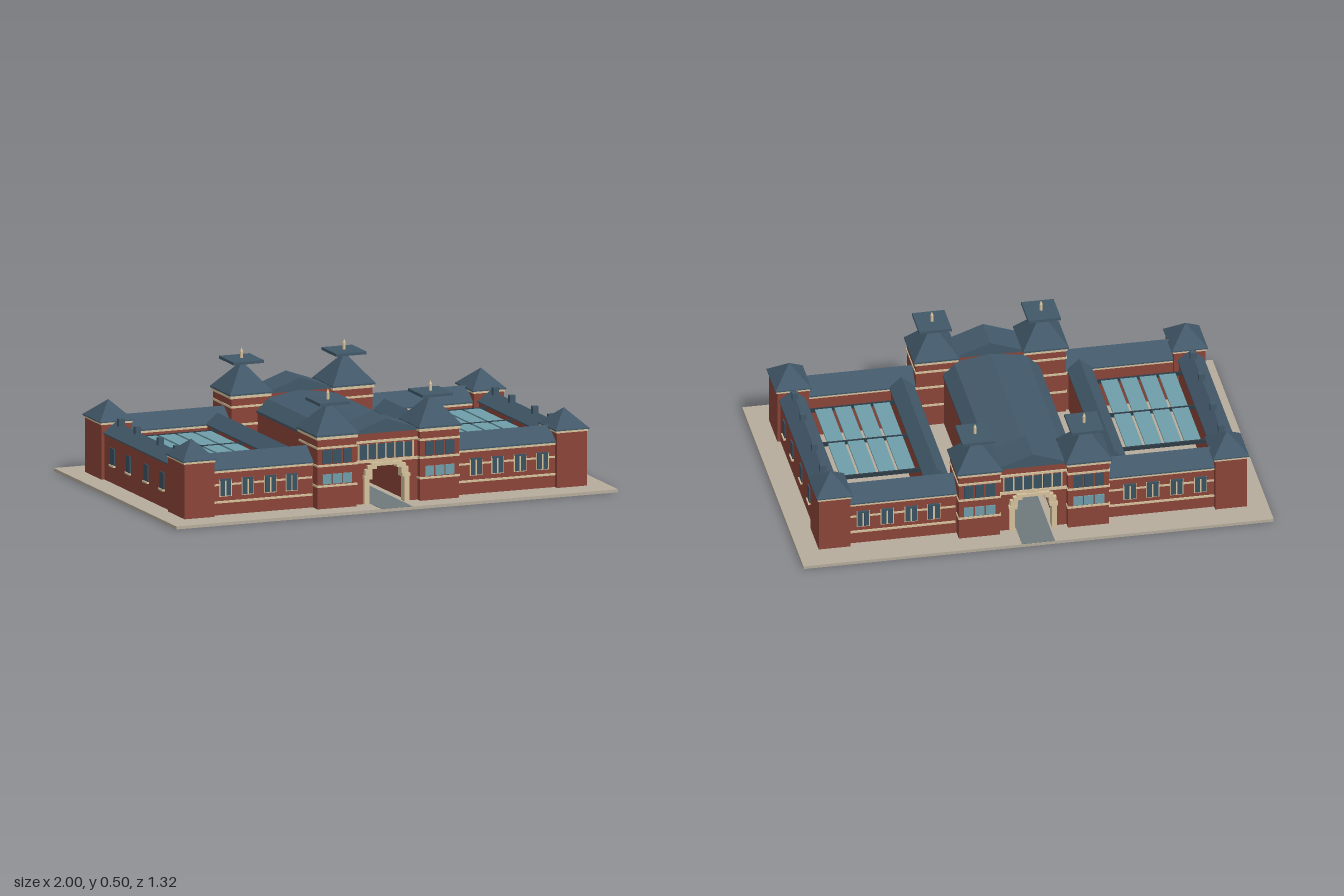
import * as THREE from 'three';

const mat = (name, color) => {
  const m = new THREE.MeshStandardMaterial({ color });
  m.name = name;
  return m;
};

export function createModel() {
  const root = new THREE.Group();
  root.name = 'courtyardBuilding';
  const brick = mat('brick', 0x8b4438), slate = mat('slate', 0x425869), cream = mat('creamStone', 0xd6c29c);
  const paving = mat('paving', 0xb5ac9c), path = mat('path', 0x6f7a7c), pane = mat('darkPane', 0x3a5262);
  const glass = mat('glass', 0x6f9eaa), iron = mat('iron', 0x2f3d47);

  const add = (name, geo, m, x = 0, y = 0, z = 0) => {
    const mesh = new THREE.Mesh(geo, m);
    mesh.name = name;
    mesh.position.set(x, y, z);
    root.add(mesh);
    return mesh;
  };
  // box by centre x/z, bottom and top heights
  const box = (name, m, x, z, w, d, y0, y1) =>
    add(name, new THREE.BoxGeometry(w, y1 - y0, d), m, x, (y0 + y1) / 2, z);
  // profile in x/y extruded along z, centred
  const prism = (name, m, pts, len, x, y, z, hole) => {
    const s = new THREE.Shape(pts.map(p => new THREE.Vector2(p[0], p[1])));
    if (hole) s.holes.push(new THREE.Path(hole.map(p => new THREE.Vector2(p[0], p[1]))));
    const g = new THREE.ExtrudeGeometry(s, { depth: len, bevelEnabled: false });
    g.translate(0, 0, -len / 2);
    return add(name, g, m, x, y, z);
  };
  // gable roof with its ridge along z, or along x when turned
  const gable = (name, x, y, z, span, h, len, turned) => {
    const r = prism(name, slate, [[-span / 2, 0], [span / 2, 0], [span / 2, 0.006], [0, h], [-span / 2, 0.006]], len, x, y, z);
    if (turned) r.rotation.y = Math.PI / 2;
  };
  const pyramid = (name, x, z, w, d, y0, y1) => {
    const g = new THREE.CylinderGeometry(0, Math.SQRT1_2, 1, 4, 1).toNonIndexed();
    g.rotateY(Math.PI / 4);
    g.scale(w, y1 - y0, d);
    g.computeVertexNormals();
    add(name, g, slate, x, (y0 + y1) / 2, z);
  };

  // ground slab
  box('groundSlab', paving, 0, 0, 2, 1.32, 0, 0.013);

  // central hall: side masses either side of the open passage, double-pitched roof
  for (const s of [-1, 1]) box('hallSide', brick, s * 0.15, 0, 0.1, 0.78, 0.013, 0.25);
  prism('hallRoof', slate, [[-0.205, 0.24], [0.205, 0.24], [0.205, 0.25], [0.155, 0.297],
    [0, 0.32], [-0.155, 0.297], [-0.205, 0.25]], 0.78, 0, 0, 0);
  box('passagePath', path, 0, 0, 0.14, 1.318, 0.012, 0.0145);

  for (const sz of [-1, 1]) {
    // entrance block with the passage cut through it
    prism('entranceBlock', brick, [[-0.15, 0.013], [-0.1, 0.013], [-0.1, 0.15], [-0.055, 0.185],
      [0.055, 0.185], [0.1, 0.15], [0.1, 0.013], [0.15, 0.013], [0.15, 0.315], [-0.15, 0.315]],
      0.15, 0, 0, sz * 0.458);
    gable('entranceRoof', 0, 0.313, sz * 0.462, 0.3, 0.059, 0.158);
    const zf = sz * 0.533;
    box('entranceCornice', cream, 0, zf, 0.29, 0.012, 0.272, 0.282);
    box('entranceSillBand', cream, 0, zf, 0.29, 0.012, 0.188, 0.2);
    for (let i = 0; i < 6; i++)
      box('entranceWindow', pane, (i - 2.5) * 0.041, sz * 0.534, 0.034, 0.006, 0.203, 0.265);
    for (let i = 0; i < 7; i++)
      box('entranceMullion', cream, (i - 3) * 0.041, sz * 0.535, 0.005, 0.008, 0.2, 0.268);
    // stepped stone portal
    for (const sx of [-1, 1]) {
      box('portalPier', cream, sx * 0.09, sz * 0.53, 0.022, 0.04, 0.013, 0.125);
      box('portalCapital', cream, sx * 0.086, sz * 0.53, 0.036, 0.046, 0.12, 0.135);
      box('portalCorbel', cream, sx * 0.082, sz * 0.53, 0.032, 0.04, 0.135, 0.162);
      box('portalCorbelUpper', cream, sx * 0.066, sz * 0.53, 0.04, 0.04, 0.162, 0.178);
    }
    box('portalLintel', cream, 0, sz * 0.53, 0.14, 0.04, 0.174, 0.188);
    prism('portalPediment', cream, [[-0.03, 0], [0.03, 0], [0, 0.022]], 0.02, 0, 0.186, sz * 0.535);

    for (const sx of [-1, 1]) {
      // entrance tower
      const tx = sx * 0.232, tz = sz * 0.465;
      box('towerWall', brick, tx, tz, 0.175, 0.195, 0.013, 0.32);
      box('towerCornice', cream, tx, tz, 0.186, 0.207, 0.308, 0.322);
      for (const y of [0.268, 0.192, 0.105]) box('towerBand', cream, tx, tz, 0.181, 0.202, y, y + 0.009);
      box('towerEave', slate, tx, tz, 0.195, 0.217, 0.321, 0.328);
      pyramid('towerRoof', tx, tz, 0.195, 0.217, 0.327, 0.446);
      box('towerCap', slate, tx, tz, 0.138, 0.157, 0.446, 0.458);
      add('finialStem', new THREE.CylinderGeometry(0.006, 0.007, 0.03, 8), cream, tx, 0.472, tz);
      add('finialTip', new THREE.ConeGeometry(0.007, 0.018, 8), cream, tx, 0.495, tz);
      for (const i of [-1, 0, 1]) {
        box('towerLowerWindow', glass, tx + i * 0.046, sz * 0.5645, 0.04, 0.007, 0.118, 0.16);
        box('towerUpperWindow', pane, tx + i * 0.046, sz * 0.5645, 0.038, 0.007, 0.205, 0.264);
      }

      // front wing with its ridge along x
      const wx = sx * 0.55;
      box('wingWall', brick, wx, sz * 0.446, 0.46, 0.134, 0.013, 0.203);
      box('wingEaveBand', cream, wx, sz * 0.446, 0.456, 0.142, 0.193, 0.203);
      gable('wingRoof', wx, 0.203, sz * 0.446, 0.15, 0.063, 0.46, true);
      box('wingUpperBand', cream, wx, sz * 0.514, 0.45, 0.005, 0.138, 0.146);
      box('wingSillBand', cream, wx, sz * 0.514, 0.45, 0.008, 0.064, 0.073);
      for (const x of [0.417, 0.514, 0.616, 0.717]) {
        box('wingWindowFrame', cream, sx * x, sz * 0.5155, 0.056, 0.006, 0.092, 0.165);
        for (const e of [-1, 1])
          box('wingWindowPane', pane, sx * x + e * 0.014, sz * 0.517, 0.021, 0.006, 0.095, 0.163);
        box('wingWindowHood', pane, sx * x, sz * 0.518, 0.05, 0.012, 0.16, 0.166);
      }

      // corner pavilion
      const cx = sx * 0.843, cz = sz * 0.447;
      box('cornerWall', brick, cx, cz, 0.135, 0.18, 0.013, 0.252);
      box('cornerCornice', cream, cx, cz, 0.143, 0.186, 0.246, 0.256);
      box('cornerEave', slate, cx, cz, 0.153, 0.192, 0.255, 0.26);
      pyramid('cornerRoof', cx, cz, 0.153, 0.192, 0.259, 0.335);
    }
  }

  for (const sx of [-1, 1]) {
    // side wing
    box('sideWall', brick, sx * 0.847, 0, 0.1, 0.74, 0.013, 0.208);
    gable('sideRoof', sx * 0.847, 0.207, 0, 0.112, 0.05, 0.74);
    for (const z of [-0.3, -0.124, 0.124, 0.3])
      box('ridgeVent', slate, sx * 0.847, z, 0.026, 0.022, 0.24, 0.279);
    for (const z of [-0.267, -0.096, 0.096, 0.267]) {
      box('sideWindow', pane, sx * 0.898, z, 0.008, 0.042, 0.092, 0.163);
      box('sideSill', cream, sx * 0.9, z, 0.014, 0.05, 0.084, 0.092);
    }

    // inner range beside the hall court
    box('innerRangeWall', brick, sx * 0.378, 0, 0.09, 0.76, 0.013, 0.203);
    gable('innerRangeRoof', sx * 0.378, 0.203, 0, 0.105, 0.05, 0.76);

    // glazed courtyard roof
    for (let i = 0; i < 4; i++)
      box('courtGlass', glass, sx * (0.484 + i * 0.0825), 0, 0.07, 0.566, 0.192, 0.2);
    for (const z of [-0.28, 0, 0.28])
      box('courtBeam', iron, sx * 0.61, z, 0.38, 0.008, 0.186, 0.203);
  }

  return root;
}
